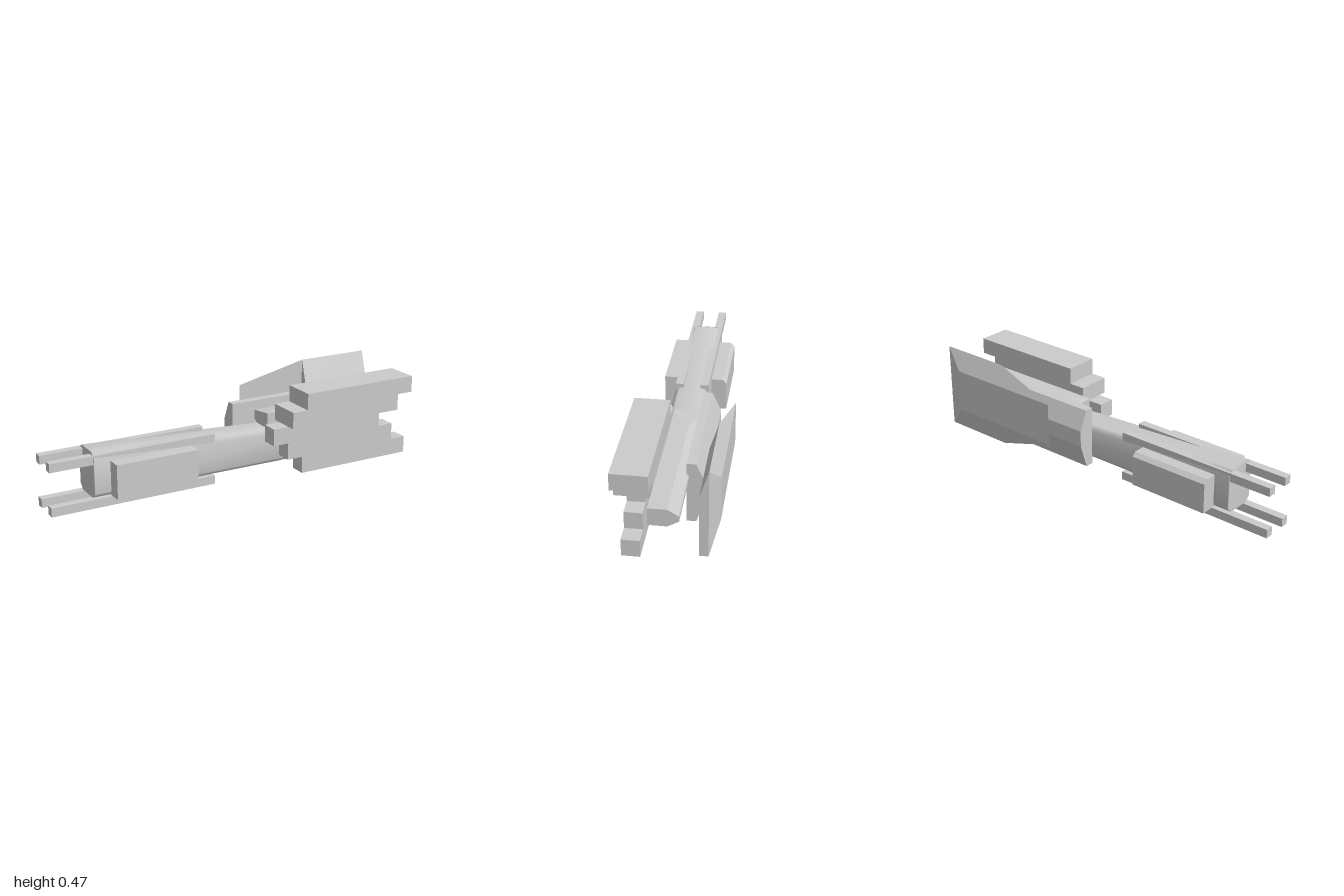
import * as THREE from 'three';

const material = new THREE.MeshStandardMaterial({ color: 0xcccccc, side: THREE.DoubleSide });

// Skin rings of [z, y] points, placed at rising x, with both ends closed.
function loft(sections, smooth = false) {
  const n = sections[0].ring.length;
  const positions = [];
  const index = [];
  for (const { x, ring } of sections) for (const [z, y] of ring) positions.push(x, y, z);
  for (let s = 0; s < sections.length - 1; s++) {
    for (let i = 0; i < n; i++) {
      const a = s * n + i, b = s * n + (i + 1) % n;
      index.push(a, b, a + n, b, b + n, a + n);
    }
  }
  const last = (sections.length - 1) * n;
  for (let i = 1; i < n - 1; i++) {
    index.push(0, i + 1, i);
    index.push(last, last + i, last + i + 1);
  }
  let geometry = new THREE.BufferGeometry();
  geometry.setAttribute('position', new THREE.Float32BufferAttribute(positions, 3));
  geometry.setIndex(index);
  if (!smooth) geometry = geometry.toNonIndexed();
  geometry.computeVertexNormals();
  return geometry;
}

// Rectangle with cut corners, centred on z = cz.
function cutRect(cz, halfWidth, y0, y1, cut) {
  const l = cz + halfWidth, r = cz - halfWidth;
  return [
    [l - cut, y1], [l, y1 - cut], [l, y0 + cut], [l - cut, y0],
    [r + cut, y0], [r, y0 + cut], [r, y1 - cut], [r + cut, y1],
  ];
}

// Side outline in x and y, extruded from z0 to z1.
function slab(points, z0, z1) {
  const shape = new THREE.Shape(points.map(([x, y]) => new THREE.Vector2(x, y)));
  const geometry = new THREE.ExtrudeGeometry(shape, { depth: z1 - z0, bevelEnabled: false });
  return geometry.translate(0, 0, z0);
}

function box(x0, x1, y0, y1, z0, z1) {
  return new THREE.BoxGeometry(x1 - x0, y1 - y0, z1 - z0)
    .translate((x0 + x1) / 2, (y0 + y1) / 2, (z0 + z1) / 2);
}

export function createModel() {
  const model = new THREE.Group();
  model.name = 'model';
  const add = (name, geometry) => {
    const mesh = new THREE.Mesh(geometry, material);
    mesh.name = name;
    model.add(mesh);
  };

  // Four long rails around the barrel
  for (const [z0, z1] of [[0.065, 0.107], [-0.063, -0.021]]) {
    for (const [y0, y1] of [[0, 0.044], [0.218, 0.261]]) {
      add('rail', box(-1, -0.145, y0, y1, z0, z1));
    }
  }

  // Tapering barrel with a rounded rear end
  add('barrel', loft([
    { x: -0.785, ring: cutRect(0.022, 0.086, 0.046, 0.274, 0.026) },
    { x: -0.78, ring: cutRect(0.022, 0.086, 0.046, 0.274, 0.026) },
    { x: 0.31, ring: cutRect(0.022, 0.086, 0.046, 0.216, 0.022) },
    { x: 0.38, ring: cutRect(0.022, 0.075, 0.055, 0.205, 0.022) },
    { x: 0.43, ring: cutRect(0.022, 0.042, 0.09, 0.168, 0.012) },
  ], true));

  // Blocks on both flanks of the barrel
  add('flankBlock', box(-0.7, -0.275, 0.052, 0.225, 0.1, 0.182));
  const flank = [
    [-0.06, 0.225], [-0.06, 0.052], [-0.143, 0.052], [-0.143, 0.205], [-0.123, 0.225],
  ];
  add('flankBlock', loft([{ x: -0.7, ring: flank }, { x: -0.275, ring: flank }]));

  // Stepped body: lower and upper halves
  add('lowerBody', slab([
    [0.31, 0], [0.953, 0], [0.953, 0.087], [0.867, 0.087], [0.867, 0.174], [0.782, 0.174],
    [0.782, 0.261], [0.14, 0.261], [0.14, 0.174], [0.225, 0.174], [0.225, 0.087], [0.31, 0.087],
  ], 0.109, 0.195));
  add('upperBody', slab([
    [0.225, 0.261], [0.867, 0.261], [0.867, 0.346], [0.953, 0.346],
    [0.953, 0.431], [0.31, 0.431], [0.31, 0.346], [0.225, 0.346],
  ], 0.065, 0.237));

  // Long bar with a bevelled rear edge
  const bar = [
    [0.065, 0.302], [0.065, 0.215], [-0.022, 0.215],
    [-0.073, 0.245], [-0.073, 0.272], [-0.022, 0.302],
  ];
  const barTip = bar.map(([z, y], i) => (i === 5 ? [-0.066, 0.285] : [z, y]));
  add('topBar', loft([{ x: 0.18, ring: barTip }, { x: 0.34, ring: bar }, { x: 1, ring: bar }]));

  // Bevelled plate behind the barrel
  const plate = [
    [-0.063, 0.335], [-0.063, 0.023], [-0.107, 0.023],
    [-0.15, 0.15], [-0.15, 0.235], [-0.107, 0.335],
  ];
  add('rearPlate', loft([{ x: 0.052, ring: plate }, { x: 0.692, ring: plate }]));

  // Outer shield, pointed towards the muzzle: inner, middle and outer edges
  const shield = (inner, middle, outer) => [
    [inner[0], inner[2]], [inner[0], inner[1]], [middle[0], middle[1]],
    [outer[0], outer[1]], [outer[0], outer[2]], [middle[0], middle[2]],
  ];
  const inner = [-0.15, 0.023, 0.335];
  const middle = [-0.193, 0.023, 0.47];
  const outer = [-0.235, 0.148, 0.37];
  add('outerShield', loft([
    { x: 0.19, ring: shield(outer, outer, outer) },
    { x: 0.55, ring: shield(middle, middle, outer) },
    { x: 0.55, ring: shield(inner, middle, outer) },
    { x: 0.83, ring: shield(inner, middle, outer) },
    { x: 0.94, ring: shield(inner, middle, middle) },
  ]));

  return model;
}
